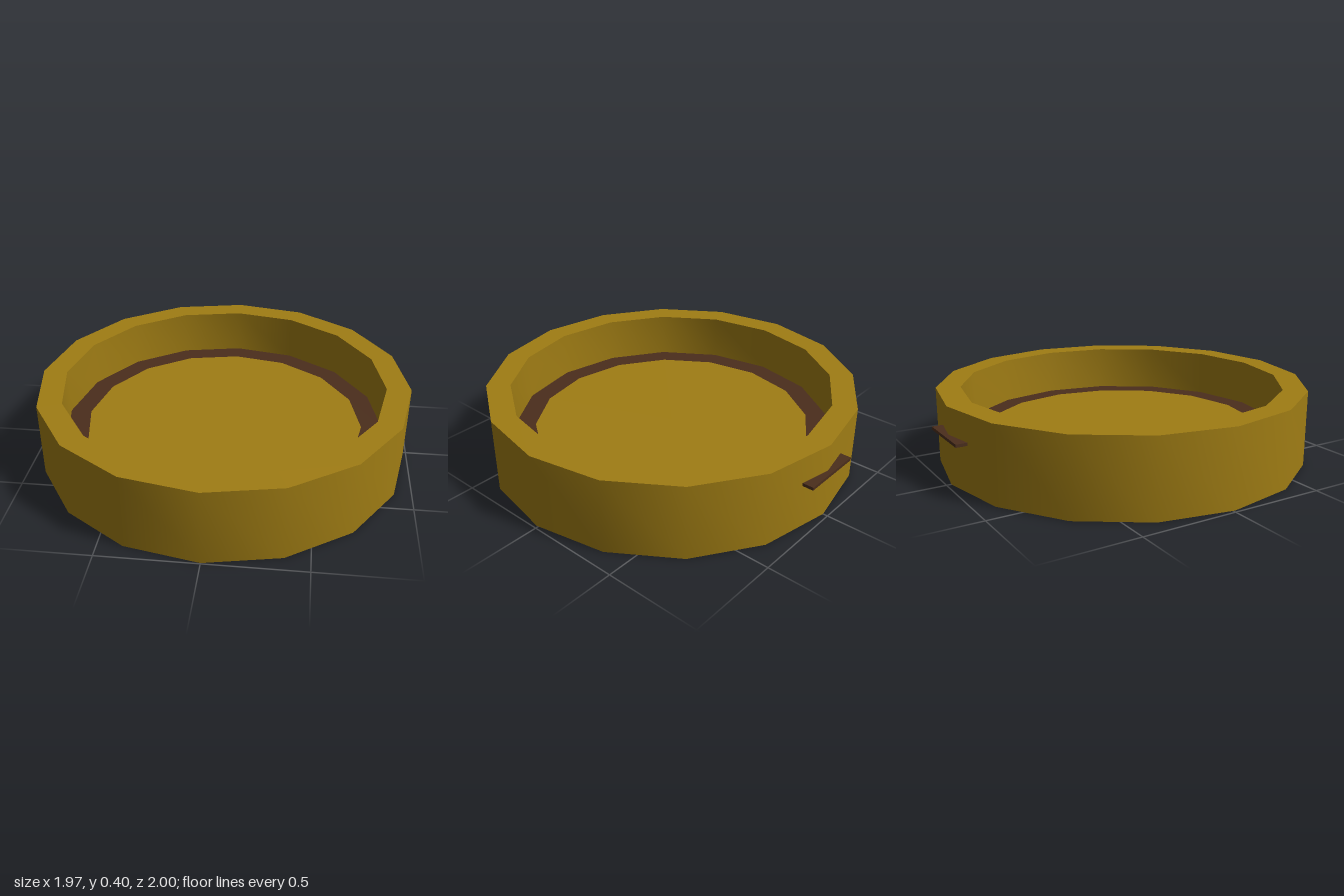
import * as THREE from 'three';
import { toCreasedNormals } from 'three/addons/utils/BufferGeometryUtils.js';

const SIDES = 16;
const OUTER = 0.985, INNER = 0.857, FLOOR = 0.745;
const HEIGHT = 0.4, FLOOR_Y = 0.155;

export function createModel() {
  const model = new THREE.Group();
  model.name = 'roundTray';
  const brass = new THREE.MeshStandardMaterial({ color: 0xa07d14 });
  const brown = new THREE.MeshStandardMaterial({ color: 0x4b2e1c });

  const add = (name, geometry, material, x = 0, y = 0, z = 0.01) => {
    const mesh = new THREE.Mesh(geometry, material);
    mesh.name = name;
    mesh.position.set(x, y, z);
    model.add(mesh);
    return mesh;
  };

  // Outer wall, flat rim and inner wall: smooth around, sharp at the corners
  const profile = [
    [OUTER, 0], [OUTER, HEIGHT], [INNER, HEIGHT], [INNER, FLOOR_Y],
  ].map(([r, y]) => new THREE.Vector2(r, y));
  add('wall', toCreasedNormals(new THREE.LatheGeometry(profile, SIDES), 0.6), brass);

  // Underside
  add('base', new THREE.CircleGeometry(OUTER, SIDES).rotateX(Math.PI / 2), brass);

  // Recessed floor with a dark band around it
  add('floor', new THREE.CircleGeometry(FLOOR, SIDES).rotateX(-Math.PI / 2), brass, 0, FLOOR_Y);
  add('floorBand', new THREE.RingGeometry(FLOOR, INNER, SIDES).rotateX(-Math.PI / 2), brown, 0, FLOOR_Y);

  // Thin tab through the back of the wall
  add('backTab', new THREE.BoxGeometry(0.336, 0.016, 0.1), brown, 0, 0.25, -0.95);

  return model;
}
